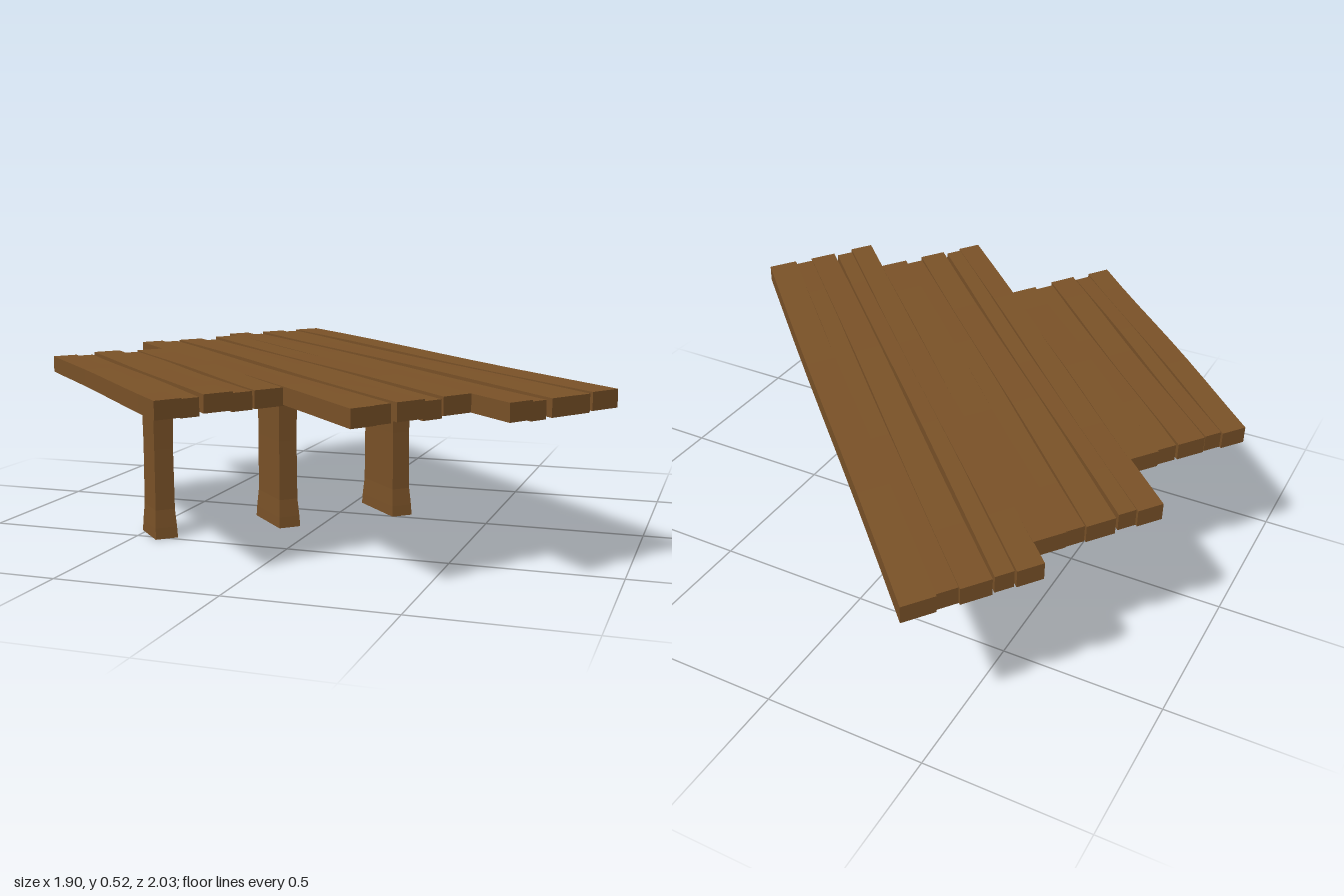
import * as THREE from 'three';

const wood = new THREE.MeshStandardMaterial({ color: 0x7a5228, flatShading: true });

// Plank edges across one section: [inner, outer, height offset, start shift, end shift]
const PLANKS = [
  [0, 0.1, 0.002, 0, 0],
  [0.1, 0.165, -0.004, 0.012, -0.012],
  [0.165, 0.257, 0.002, 0, 0],
  [0.268, 0.325, -0.003, 0.012, -0.012],
  [0.325, 0.406, 0.001, 0, 0],
];

// Sections: inner edge across, start and end along, leg centre across, leg width
const SECTIONS = [
  { v: -0.376, start: -1.022, end: 0.987, legV: -0.165, legW: 0.205 },
  { v: 0.028, start: -0.862, end: 0.885, legV: 0.235, legW: 0.175 },
  { v: 0.43, start: -0.562, end: 0.548, legV: 0.636, legW: 0.112 },
];

const TOP = 0.519;
const BOTTOM = 0.467;

// Slightly wavy board with skewed ends
function makePlank(section, [a, b, lift, shiftStart, shiftEnd], seed) {
  const geo = new THREE.BoxGeometry(1, 1, 1, 8, 1, 1);
  const pos = geo.attributes.position;
  for (let i = 0; i < pos.count; i++) {
    const t = pos.getX(i) + 0.5;
    const across = pos.getZ(i) < 0 ? a : b;
    const from = section.start + across * 0.17 + shiftStart;
    const to = section.end + across * 0.22 + shiftEnd;
    const wave = Math.sin(t * 7 + seed * 1.7);
    const y = (pos.getY(i) > 0 ? TOP : BOTTOM) + lift + wave * 0.002;
    pos.setXYZ(i, from + (to - from) * t, y, section.v + across + wave * 0.0015);
  }
  geo.computeVertexNormals();
  const mesh = new THREE.Mesh(geo, wood);
  mesh.name = 'plank';
  return mesh;
}

// Rectangular post that flares into a foot
function makeLeg(section) {
  const flare = [[0, 0.012], [0.035, 0.009], [0.09, 0.002], [0.28, 0], [0.48, 0.004]];
  const geo = new THREE.BoxGeometry(1, 1, 1, 1, flare.length - 1, 1);
  const pos = geo.attributes.position;
  for (let i = 0; i < pos.count; i++) {
    const [y, grow] = flare[Math.round((pos.getY(i) + 0.5) * (flare.length - 1))];
    pos.setXYZ(
      i,
      0.02 + Math.sign(pos.getX(i)) * (section.legW / 2 + grow),
      y,
      section.legV + Math.sign(pos.getZ(i)) * (0.03 + grow * 0.5)
    );
  }
  geo.computeVertexNormals();
  const mesh = new THREE.Mesh(geo, wood);
  mesh.name = 'leg';
  return mesh;
}

export function createModel() {
  const model = new THREE.Group();
  model.name = 'steppedPlankPlatform';

  // Boards run diagonally
  const deck = new THREE.Group();
  deck.name = 'platform';
  deck.rotation.y = THREE.MathUtils.degToRad(-46);
  model.add(deck);

  SECTIONS.forEach((section, s) => {
    const part = new THREE.Group();
    part.name = 'deckSection';
    PLANKS.forEach((plank, p) => part.add(makePlank(section, plank, s * 5 + p)));
    part.add(makeLeg(section));
    deck.add(part);
  });
  return model;
}
